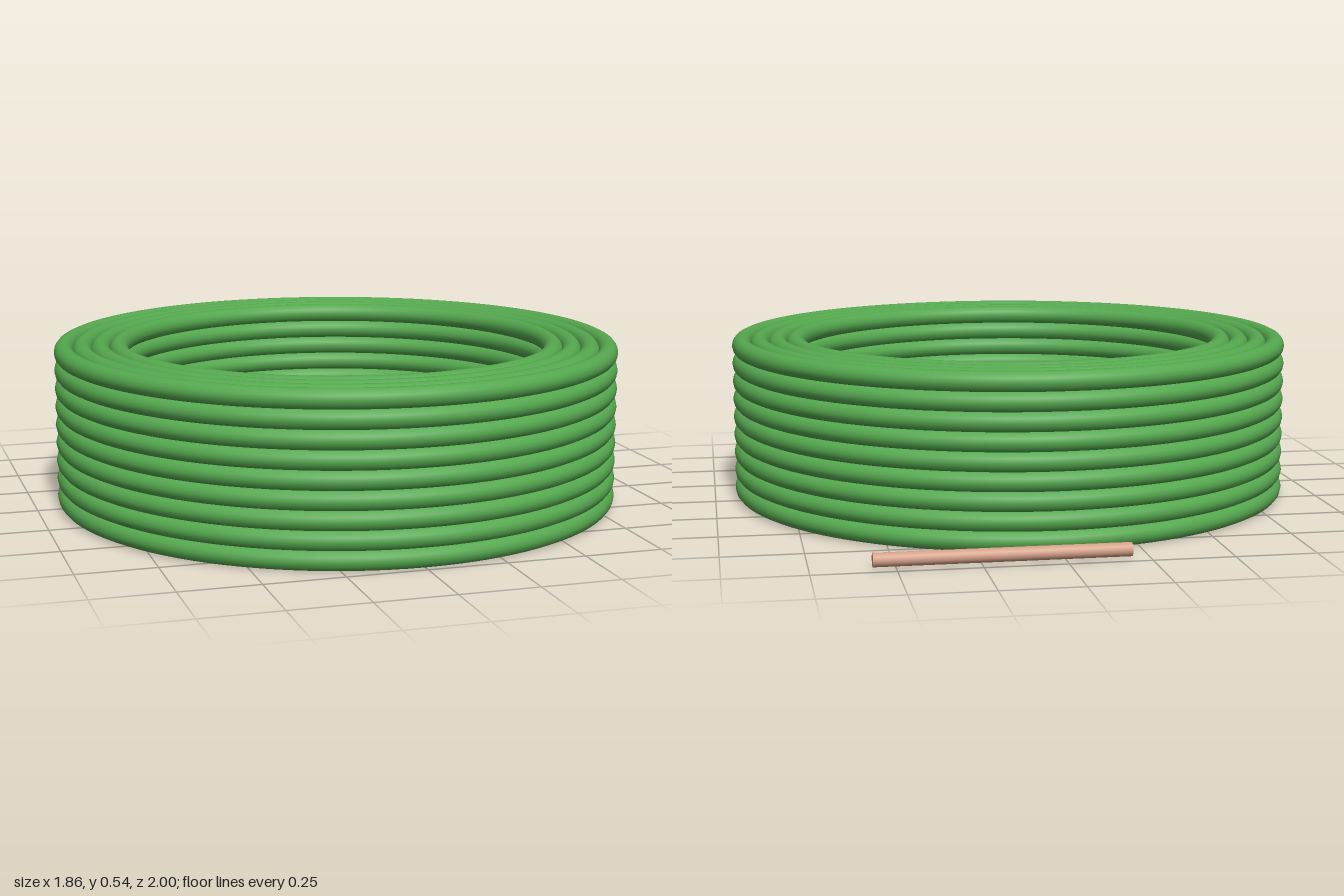
import * as THREE from 'three';

export function createModel() {
  const model = new THREE.Group();
  model.name = 'cableCoil';

  const green = new THREE.MeshStandardMaterial({ color: 0x55a84f });
  green.name = 'green insulation';
  const copper = new THREE.MeshStandardMaterial({ color: 0xd4a088 });
  copper.name = 'bare copper';

  const layers = 9, turns = 4, pitch = 0.06, wire = 0.032, outer = 0.9;

  // Coil: concentric turns stacked in layers
  const coil = new THREE.Group();
  coil.name = 'coil';
  coil.position.z = 0.067;
  for (let t = 0; t < turns; t++) {
    const turn = new THREE.TorusGeometry(outer - t * pitch, wire, 14, 112);
    turn.rotateX(-Math.PI / 2);
    for (let l = 0; l < layers; l++) {
      const ring = new THREE.Mesh(turn, green);
      ring.name = `cableTurn_${l + 1}_${t + 1}`;
      ring.position.y = wire + l * pitch;
      coil.add(ring);
    }
  }
  model.add(coil);

  // Bare conductor lying behind the coil
  const rod = new THREE.Mesh(new THREE.CylinderGeometry(0.021, 0.021, 0.76, 20), copper);
  rod.name = 'copperConductor';
  rod.rotation.z = Math.PI / 2;
  rod.position.set(0.19, wire, -0.979);
  model.add(rod);

  return model;
}
